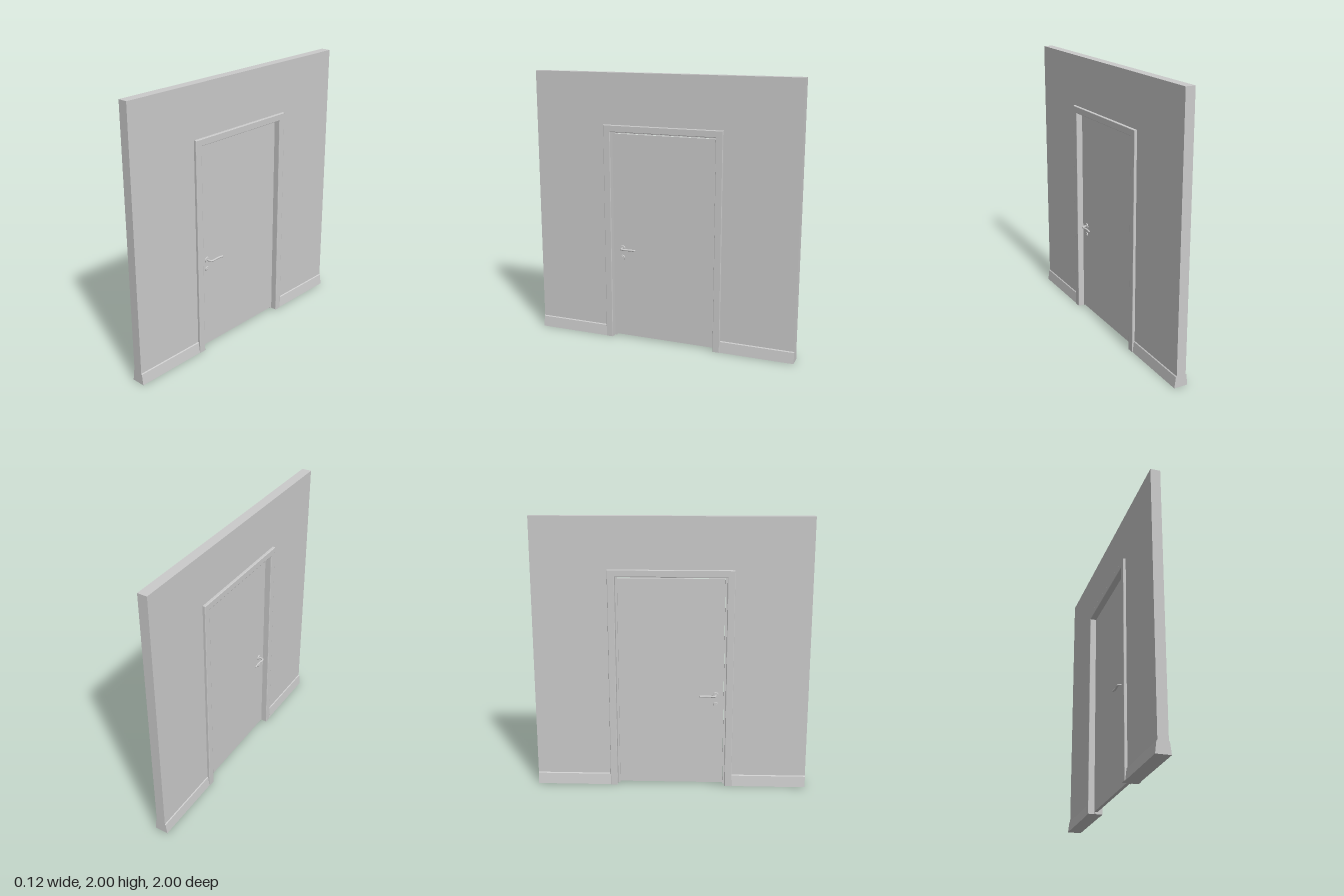
import * as THREE from 'three';

const grey = () => new THREE.MeshStandardMaterial({ color: 0xcccccc });

function add(parent, name, geometry) {
  const mesh = new THREE.Mesh(geometry, grey());
  mesh.name = name;
  parent.add(mesh);
  return mesh;
}

// Upside-down U standing on the floor: outer and inner half width and height
function archShape(outerW, outerH, innerW, innerH) {
  return new THREE.Shape([
    [-outerW, 0], [-innerW, 0], [-innerW, innerH], [innerW, innerH],
    [innerW, 0], [outerW, 0], [outerW, outerH], [-outerW, outerH],
  ].map(([a, b]) => new THREE.Vector2(a, b)));
}

// Extrude a shape drawn in the wall plane from x0 to x1
function extrudeThroughWall(shape, x0, x1) {
  const g = new THREE.ExtrudeGeometry(shape, { depth: x1 - x0, bevelEnabled: false });
  return g.rotateY(Math.PI / 2).translate(x0, 0, 0);
}

// Casing with a small chamfer on its exposed face
function casingGeometry() {
  const b = 0.004;
  const g = new THREE.ExtrudeGeometry(archShape(0.453 - b, 1.627 - b, 0.4 + b, 1.577 + b), {
    depth: 0.016, bevelEnabled: true, bevelSize: b, bevelThickness: b, bevelSegments: 2,
  });
  g.rotateY(Math.PI / 2).translate(0.035, 0, 0);
  // keep the feet flat on the floor
  const p = g.attributes.position;
  for (let i = 0; i < p.count; i++) if (p.getY(i) < 0.01) p.setY(i, 0);
  g.computeVertexNormals();
  return g;
}

// Sloping skirting board, length along z
function skirtingGeometry(length) {
  const profile = new THREE.Shape([
    [0.035, 0], [0.051, 0], [0.041, 0.08], [0.035, 0.086],
  ].map(([a, b]) => new THREE.Vector2(a, b)));
  return new THREE.ExtrudeGeometry(profile, { depth: length, bevelEnabled: false });
}

// Disc facing +x
const disc = (r, depth) => new THREE.CylinderGeometry(r * 0.9, r, depth, 24).rotateZ(-Math.PI / 2);

// Lever, rosette and lock cover for the +x face
function createHandle() {
  const handle = new THREE.Group();
  const z = 0.327, y = 0.702;
  add(handle, 'rosette', disc(0.022, 0.007)).position.set(0.0155, y, z);
  add(handle, 'lockCover', disc(0.019, 0.007)).position.set(0.0155, 0.631, z);
  add(handle, 'lockCylinder', disc(0.006, 0.003)).position.set(0.0195, 0.631, z);

  const path = new THREE.CatmullRomCurve3([
    [0.014, z], [0.035, z], [0.049, z - 0.004], [0.054, z - 0.018],
    [0.051, z - 0.05], [0.05, z - 0.08], [0.054, z - 0.114],
  ].map(([px, pz]) => new THREE.Vector3(px, y, pz)));
  add(handle, 'lever', new THREE.TubeGeometry(path, 32, 0.0075, 12, false));
  const tip = add(handle, 'leverTip', new THREE.SphereGeometry(0.0075, 12, 8));
  tip.position.copy(path.getPoint(1));
  return handle;
}

export function createModel() {
  const model = new THREE.Group();
  model.name = 'doorInWall';

  // Wall with the door opening
  add(model, 'wall', extrudeThroughWall(archShape(1, 2, 0.415, 1.592), -0.035, 0.035));

  // Lining of the opening and the stop around the leaf
  add(model, 'frameLining', extrudeThroughWall(archShape(0.415, 1.592, 0.4, 1.577), -0.035, 0.035));
  add(model, 'doorStop', extrudeThroughWall(archShape(0.4, 1.577, 0.386, 1.565), -0.008, 0.008));

  // Door leaf with a gap above the floor
  add(model, 'doorLeaf', new THREE.BoxGeometry(0.024, 1.548, 0.768)).position.set(0, 0.787, 0);

  // Casing, skirting and handle on both faces
  for (const side of [1, -1]) {
    const sideName = side > 0 ? 'left' : 'right';
    const casing = add(model, sideName + 'Casing', casingGeometry());
    if (side < 0) casing.rotation.y = Math.PI;

    for (const end of [1, -1]) {
      const skirting = add(model, sideName + (end > 0 ? 'Front' : 'Back') + 'Skirting', skirtingGeometry(0.547));
      if (side < 0) skirting.rotation.y = Math.PI;
      // the turned board runs towards -z from its origin
      skirting.position.z = end > 0 ? (side > 0 ? 0.453 : 1) : (side > 0 ? -1 : -0.453);
    }

    const handle = createHandle();
    handle.name = sideName + 'Handle';
    handle.scale.x = side;
    model.add(handle);
  }
  return model;
}
